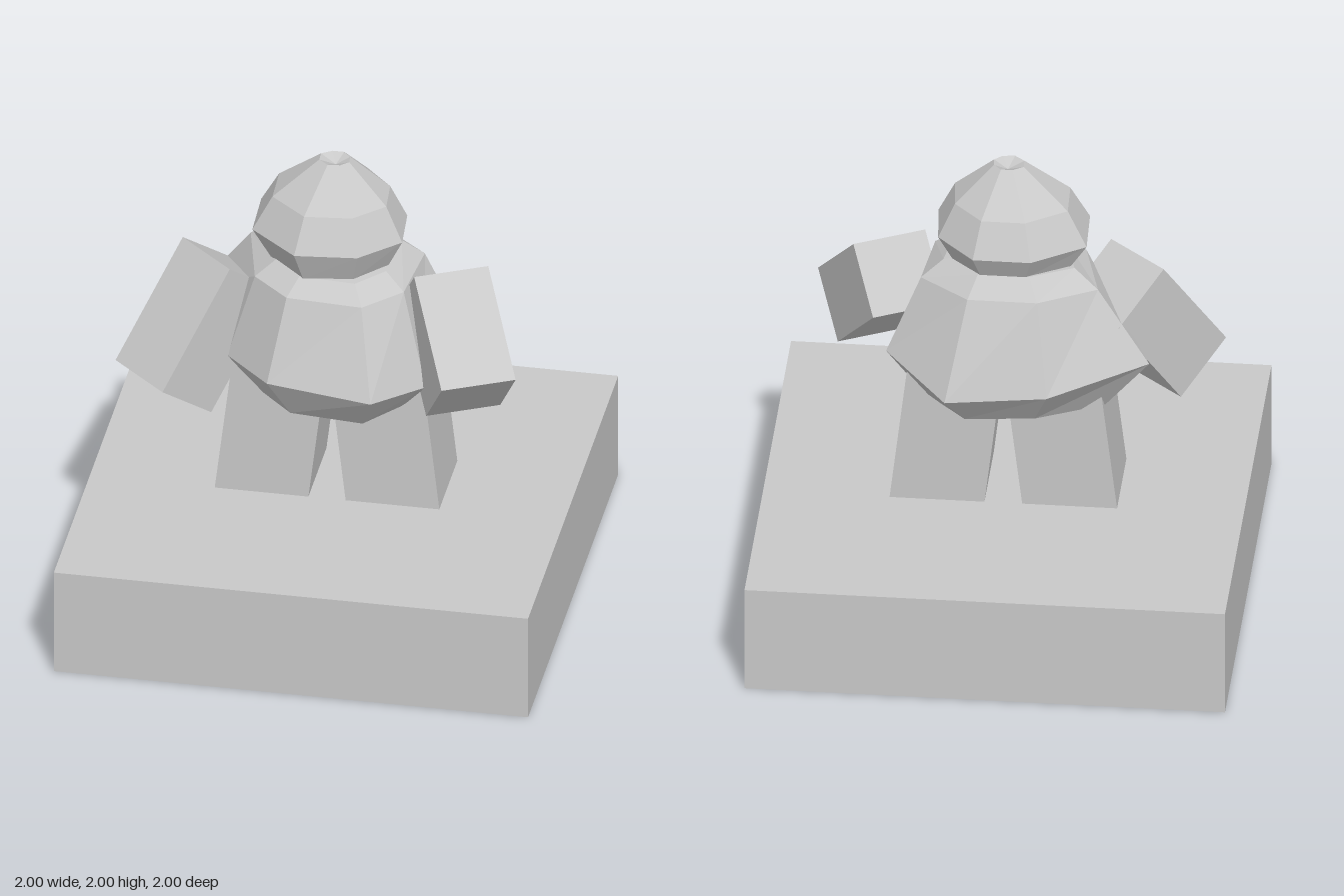
import * as THREE from 'three';

const stone = new THREE.MeshStandardMaterial({ color: 0xc8c8c8 });
stone.name = 'grey stone';

// Faceted solid through a stack of rings (bottom to top), closed with fans
function loft(name, rings, bottomY, topY) {
  const pos = [];
  const tri = (...p) => p.forEach((v) => pos.push(...v));
  const n = rings[0].length;
  const first = rings[0], last = rings[rings.length - 1];
  for (let i = 0; i < n; i++) {
    const j = (i + 1) % n;
    for (let r = 0; r < rings.length - 1; r++) {
      const lo = rings[r], up = rings[r + 1];
      tri(lo[j], lo[i], up[i]);
      tri(lo[j], up[i], up[j]);
    }
    tri([0, bottomY, 0], first[i], first[j]);
    tri([0, topY, 0], last[j], last[i]);
  }
  const geo = new THREE.BufferGeometry();
  geo.setAttribute('position', new THREE.Float32BufferAttribute(pos, 3));
  geo.computeVertexNormals();
  const mesh = new THREE.Mesh(geo, stone);
  mesh.name = name;
  return mesh;
}

// Block spanned by three edges from its upper front corner:
// a runs across, b runs down, c runs backward
function block(name, corner, a, b, c) {
  const [p, ea, eb, ec] = [corner, a, b, c].map((v) => new THREE.Vector3(...v));
  const geo = new THREE.BoxGeometry(1, 1, 1).translate(0.5, -0.5, -0.5);
  const m = new THREE.Matrix4().makeBasis(ea, eb.negate(), ec.negate()).setPosition(p);
  const mesh = new THREE.Mesh(geo.applyMatrix4(m), stone);
  mesh.name = name;
  return mesh;
}

// Ring copied from plan points, scaled, at a height that rises toward the back
const ring = (plan, s, y, tilt = 0) => plan.map(([x, z]) => [x * s, y - z * s * tilt, z * s]);

export function createModel() {
  const model = new THREE.Group();
  model.name = 'statue';

  // Pedestal
  const pedestal = new THREE.Mesh(new THREE.BoxGeometry(2, 0.475, 2).translate(0, 0.2375, 0), stone);
  pedestal.name = 'pedestal';
  model.add(pedestal);

  // Legs, leaning inward toward the hips
  model.add(
    block('rightLeg', [-0.4, 1.1, 0.19], [0.395, 0, 0], [-0.08, -0.68, 0.01], [0, 0, -0.4]),
    block('leftLeg', [0.005, 1.1, 0.19], [0.395, 0, 0], [0.08, -0.68, 0.01], [0, 0, -0.4]),
  );

  // Torso
  const hips = [[-0.42, -0.16], [-0.14, -0.3], [0.15, -0.33], [0.34, -0.13],
    [0.32, 0.18], [0.18, 0.36], [-0.13, 0.33], [-0.31, 0.15]];
  const belly = [[-0.61, 1.2, -0.23], [-0.2, 1.12, -0.42], [0.22, 1.1, -0.46], [0.49, 1.17, -0.18],
    [0.43, 1.1, 0.27], [0.24, 1.13, 0.5], [-0.21, 1.14, 0.43], [-0.42, 1.12, 0.2]];
  const shoulders = [[-0.39, -0.16], [-0.15, -0.3], [0.14, -0.3], [0.35, -0.13],
    [0.32, 0.18], [0.17, 0.33], [-0.15, 0.31], [-0.31, 0.17]];
  model.add(loft('torso', [
    ring(hips, 1, 0.95), belly, ring(shoulders, 1, 1.5, 0.03), ring(shoulders, 0.74, 1.57, 0.08),
  ], 0.95, 1.58));

  // Head
  const brow = [[-0.34, -0.13], [-0.12, -0.28], [0.12, -0.28], [0.28, -0.11],
    [0.3, 0.11], [0.14, 0.27], [-0.12, 0.3], [-0.33, 0.12]];
  model.add(loft('head', [
    ring(brow, 0.78, 1.56, 0.08), ring(brow, 1, 1.69), ring(brow, 0.76, 1.84), ring(brow, 0.2, 2),
  ], 1.56, 1.97));

  // Arms, raised forward and out
  model.add(
    block('rightArm', [-0.65, 1.535, -0.02], [0.24, 0, 0.22], [-0.235, -0.47, 0.255], [0.17, -0.186, -0.186]),
    block('leftArm', [0.36, 1.56, 0.16], [0.285, 0, -0.145], [0.18, -0.33, 0.34], [-0.1, -0.24, -0.185]),
  );
  return model;
}
